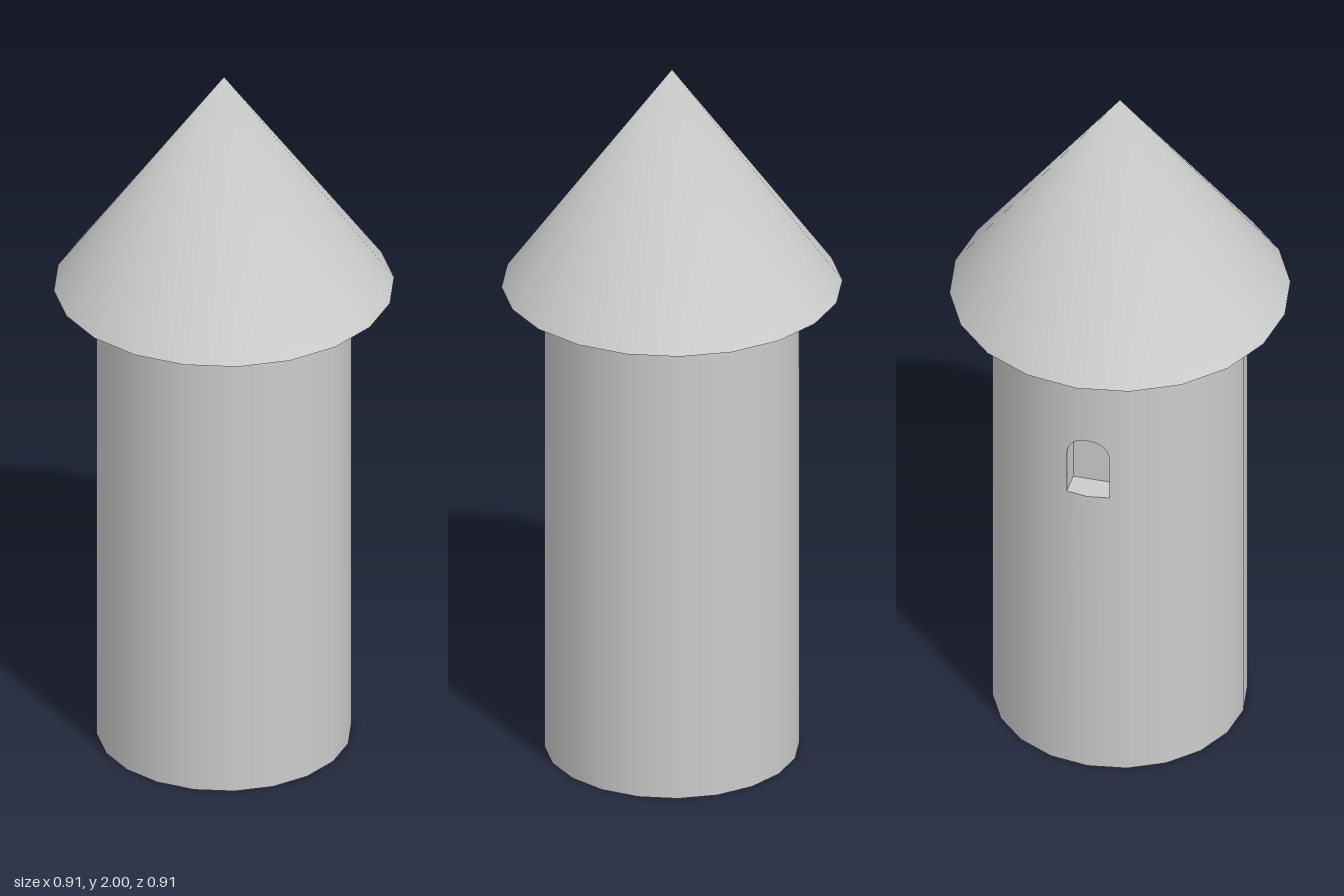
import * as THREE from 'three';
import { mergeVertices, mergeGeometries } from 'three/addons/utils/BufferGeometryUtils.js';

const SIDES = 20, R = 0.342, WALL_H = 1.365, ROOF_R = 0.457, TOP = 2;
const STEP = (Math.PI * 2) / SIDES;
// Window niche in the back wall
const HALF_W = 0.059, SILL = 0.912, SPRING = 1.041, NICHE_Z = -0.265, ARCH_SEGS = 12;

// Depth of the two back facets, which meet in a ridge at x = 0
const backZ = (x) => -(R - Math.abs(x) * Math.tan(STEP / 2));

// Arch points from angle a to angle b
function arch(a, b, n) {
  return Array.from({ length: n + 1 }, (_, i) => {
    const t = a + ((b - a) * i) / n;
    return new THREE.Vector2(HALF_W * Math.cos(t), SPRING + HALF_W * Math.sin(t));
  });
}

// One back facet with half of the window cut from its inner edge
function backPanel(side) {
  const X = R * Math.sin(STEP);
  const pts = [
    new THREE.Vector2(0, 0), new THREE.Vector2(X, 0),
    new THREE.Vector2(X, WALL_H), new THREE.Vector2(0, WALL_H),
    ...arch(Math.PI / 2, 0, ARCH_SEGS / 2),
    new THREE.Vector2(HALF_W, SILL), new THREE.Vector2(0, SILL),
  ];
  pts.forEach((p) => { p.x *= side; });
  const geo = new THREE.ShapeGeometry(new THREE.Shape(pts)).rotateY(Math.PI);
  const pos = geo.attributes.position, nor = geo.attributes.normal;
  for (let i = 0; i < pos.count; i++) {
    const x = pos.getX(i), z = backZ(x);
    const len = Math.hypot(x, z);
    pos.setZ(i, z);
    nor.setXYZ(i, x / len, 0, z / len);
  }
  return geo;
}

// Sill, jambs and arch soffit running from the wall face to the niche back
function revealGeometry(outline) {
  const verts = [];
  outline.forEach((p, i) => {
    const q = outline[(i + 1) % outline.length];
    const po = [p.x, p.y, backZ(p.x)], pi = [p.x, p.y, NICHE_Z];
    const qo = [q.x, q.y, backZ(q.x)], qi = [q.x, q.y, NICHE_Z];
    verts.push(...po, ...pi, ...qi, ...po, ...qi, ...qo);
  });
  const geo = new THREE.BufferGeometry();
  geo.setAttribute('position', new THREE.Float32BufferAttribute(verts, 3));
  geo.computeVertexNormals();
  return geo;
}

export function createModel() {
  const group = new THREE.Group();
  const mat = new THREE.MeshStandardMaterial({ color: 0xcccccc });
  const add = (name, geo) => {
    const mesh = new THREE.Mesh(geo, mat);
    mesh.name = name;
    group.add(mesh);
    return mesh;
  };
  const disc = (r) => new THREE.CircleGeometry(r, SIDES).rotateX(Math.PI / 2);

  // Round wall, leaving the two back facets for the window panels
  const shell = new THREE.CylinderGeometry(
    R, R, WALL_H, SIDES - 2, 1, true, Math.PI + STEP, Math.PI * 2 - 2 * STEP
  ).translate(0, WALL_H / 2, 0);
  add('towerWall', mergeGeometries([shell, backPanel(1), backPanel(-1)]));
  add('towerBase', disc(R));

  // Arched window niche
  const outline = [
    new THREE.Vector2(-HALF_W, SILL), new THREE.Vector2(0, SILL),
    new THREE.Vector2(HALF_W, SILL), ...arch(0, Math.PI, ARCH_SEGS),
  ];
  add('windowReveal', revealGeometry(outline));
  add('windowBack', new THREE.ShapeGeometry(new THREE.Shape(outline))
    .rotateY(Math.PI).translate(0, 0, NICHE_Z));

  // Conical roof with one shared, smoothed tip
  const cone = new THREE.ConeGeometry(ROOF_R, TOP - WALL_H, SIDES, 1, true);
  cone.deleteAttribute('normal');
  cone.deleteAttribute('uv');
  const roof = mergeVertices(cone, 1e-4);
  roof.computeVertexNormals();
  add('roof', roof.translate(0, (TOP + WALL_H) / 2, 0));
  add('roofUnderside', disc(ROOF_R).translate(0, WALL_H, 0));

  return group;
}
